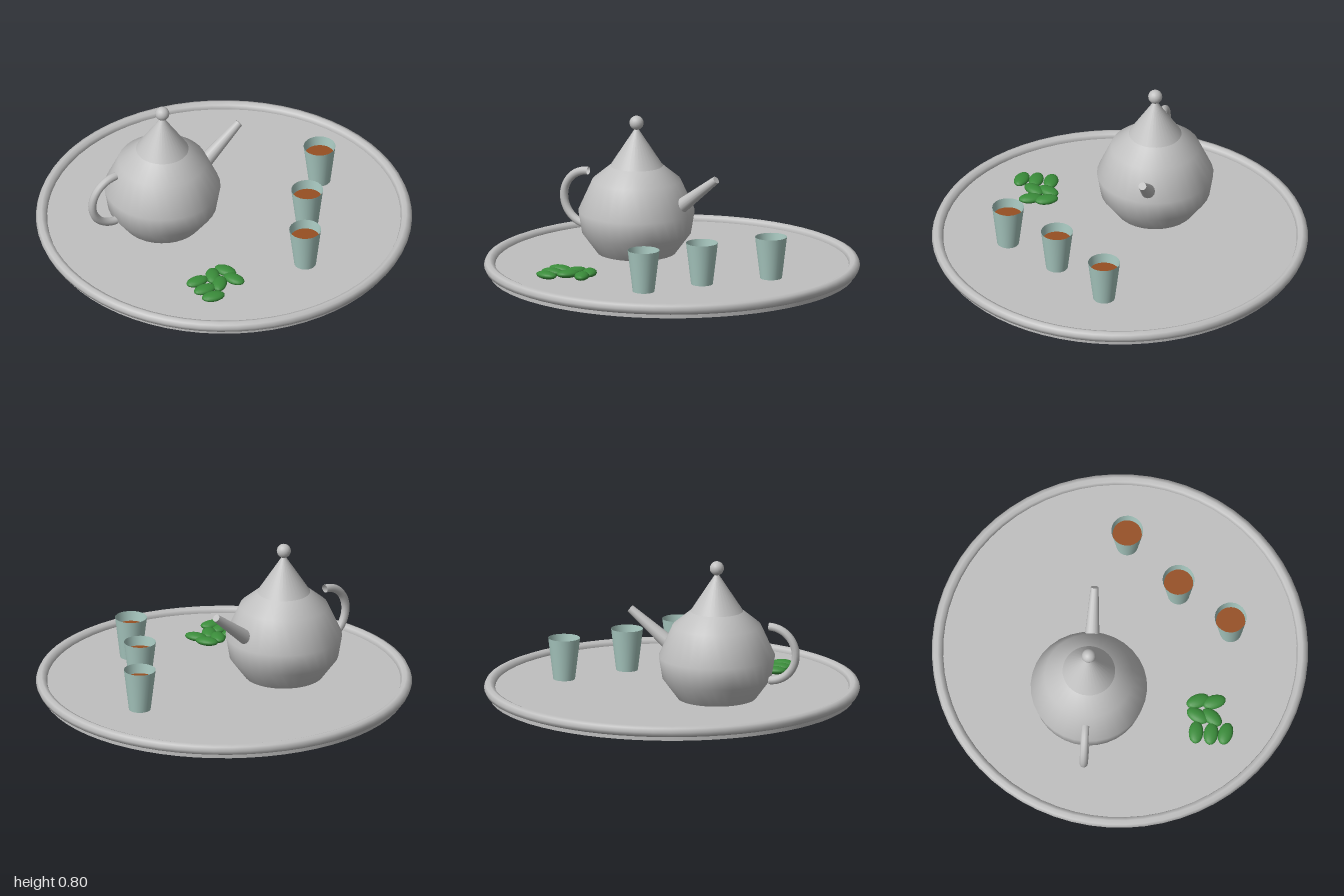
import * as THREE from 'three';

const makeMaterial = (name, color, side = THREE.FrontSide) =>
  Object.assign(new THREE.MeshStandardMaterial({ color, side }), { name });

export function createModel() {
  const model = new THREE.Group();
  model.name = 'teaSet';
  const silver = makeMaterial('silver', 0xc0c0c0, THREE.DoubleSide);
  const glass = makeMaterial('paleGlass', 0xa8c8c0, THREE.DoubleSide);
  const teaColor = makeMaterial('tea', 0x964f22);
  const green = makeMaterial('leafGreen', 0x3a8c3a);
  const floor = 0.05;

  const add = (parent, name, geometry, material, x = 0, y = 0, z = 0) => {
    const mesh = new THREE.Mesh(geometry, material);
    mesh.name = name;
    mesh.position.set(x, y, z);
    parent.add(mesh);
    return mesh;
  };

  // Tray: flat disc with a rolled rim
  add(model, 'trayBase', new THREE.CylinderGeometry(0.97, 0.97, floor, 64), silver, 0, floor / 2, 0);
  add(model, 'trayRim', new THREE.TorusGeometry(0.97, 0.03, 8, 64).rotateX(Math.PI / 2), silver, 0, 0.05, 0);

  // Teapot
  const pot = new THREE.Group();
  pot.name = 'teapot';
  pot.position.set(-0.295, 0, -0.147);
  model.add(pot);
  const profile = [[0, 0.052], [0.21, 0.052], [0.29, 0.16], [0.31, 0.28], [0.235, 0.447], [0.14, 0.525], [0, 0.525]]
    .map(([r, y]) => new THREE.Vector2(r, y));
  add(pot, 'potBody', new THREE.LatheGeometry(profile.slice(1, 6), 32), silver);
  add(pot, 'potBottom', new THREE.LatheGeometry(profile.slice(0, 2), 32), silver);
  add(pot, 'lid', new THREE.ConeGeometry(0.14, 0.215, 32), silver, 0, 0.6325, 0);
  add(pot, 'lidKnob', new THREE.SphereGeometry(0.038, 16, 12), silver, 0, 0.758, 0);

  // Tapered straight spout
  const from = new THREE.Vector3(0.26, 0.325, 0);
  const to = new THREE.Vector3(0.482, 0.503, 0);
  const direction = to.clone().sub(from);
  const spout = add(pot, 'spout', new THREE.CylinderGeometry(0.021, 0.04, direction.length(), 16), silver);
  spout.position.copy(from).add(to).multiplyScalar(0.5);
  spout.quaternion.setFromUnitVectors(new THREE.Vector3(0, 1, 0), direction.normalize());

  // Half-ring handle
  add(pot, 'handle', new THREE.TorusGeometry(0.147, 0.022, 10, 24, Math.PI).rotateZ(Math.PI / 2),
    silver, -0.292, 0.313, 0);

  // Glasses filled with tea
  for (const [x, z] of [[0.6, 0], [0.34, 0.29], [0.145, 0.58]]) {
    const cup = new THREE.Group();
    cup.name = 'cup';
    cup.position.set(x, floor, z);
    model.add(cup);
    add(cup, 'cupWall', new THREE.CylinderGeometry(0.085, 0.058, 0.225, 24, 1, true), glass, 0, 0.1125, 0);
    add(cup, 'cupBottom', new THREE.CircleGeometry(0.058, 24).rotateX(-Math.PI / 2), glass, 0, 0.002, 0);
    add(cup, 'teaSurface', new THREE.CircleGeometry(0.078, 24).rotateX(-Math.PI / 2), teaColor, 0, 0.172, 0);
  }

  // Pile of mint leaves: x, z, turn in degrees
  const leaves = [
    [-0.44, 0.433, 0], [-0.443, 0.513, -4], [-0.438, 0.59, -12],
    [-0.345, 0.435, 60], [-0.35, 0.512, 50], [-0.263, 0.432, 115], [-0.263, 0.518, 110],
  ];
  for (const [x, z, turn] of leaves) {
    const leaf = add(model, 'mintLeaf', new THREE.SphereGeometry(1, 16, 10), green, x, 0.07, z);
    leaf.scale.set(0.064, 0.021, 0.039);
    leaf.rotation.y = THREE.MathUtils.degToRad(turn);
  }
  return model;
}
